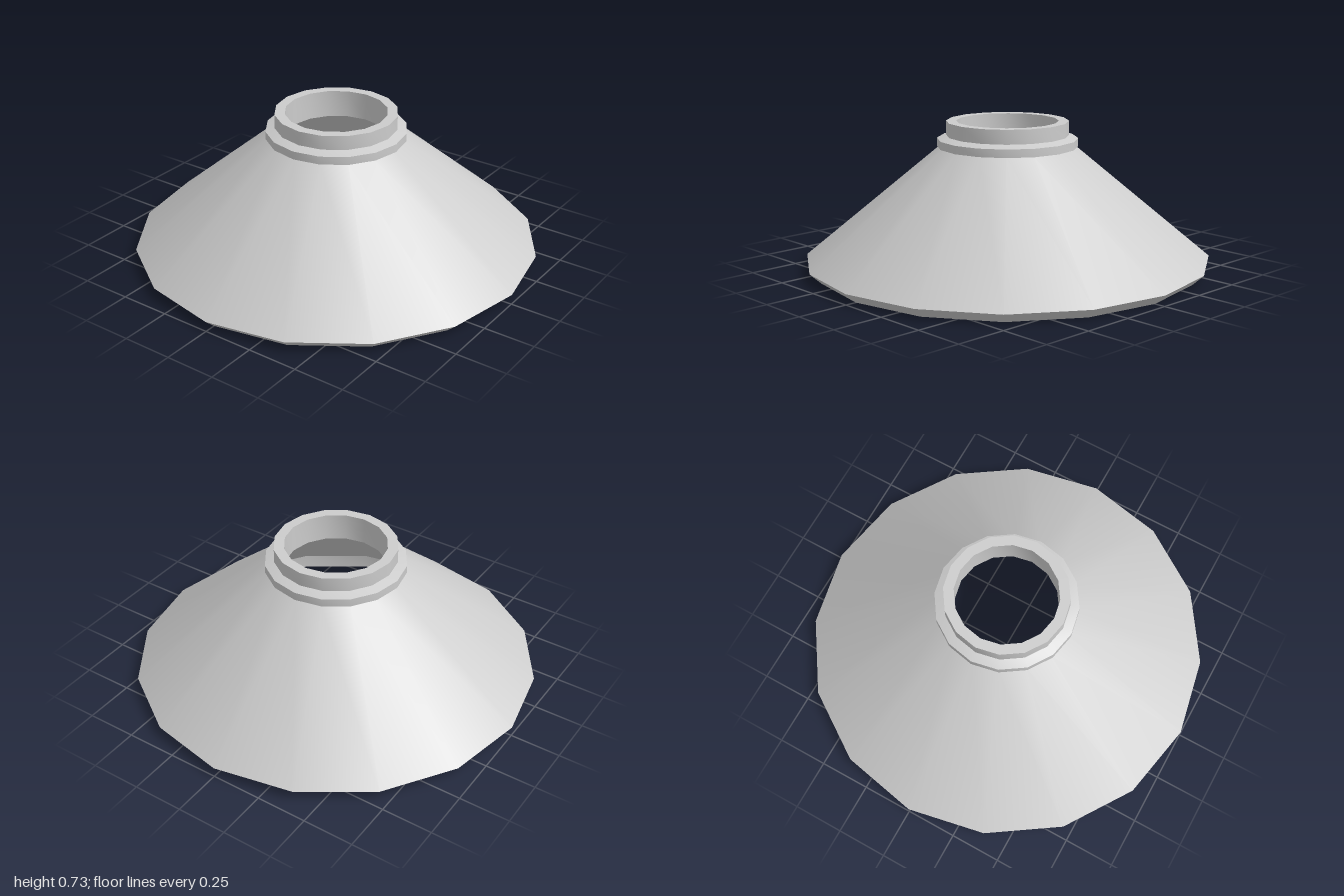
import * as THREE from 'three';
import { toCreasedNormals } from 'three/addons/utils/BufferGeometryUtils.js';

const SIDES = 16;

export function createModel() {
  const group = new THREE.Group();
  const grey = new THREE.MeshStandardMaterial({ color: 0xcccccc });
  grey.name = 'light grey';

  // Revolve a [radius, height] profile: smooth around, sharp at the steps
  const addRing = (name, profile) => {
    const points = profile.map(([r, y]) => new THREE.Vector2(r, y));
    const geometry = toCreasedNormals(new THREE.LatheGeometry(points, SIDES), 0.5);
    const mesh = new THREE.Mesh(geometry, grey);
    mesh.name = name;
    group.add(mesh);
  };

  // Sloping shade, outside and inside
  addRing('outerCone', [[1, 0.05], [0.335, 0.6]]);
  addRing('innerCone', [[0.25, 0.59], [0.865, 0.075]]);

  // Bottom rim: inner lip, flat underside, outer bevel
  addRing('rim', [[0.865, 0.075], [0.87, 0], [0.945, 0], [1, 0.05]]);

  // Stepped collar with a small sloping top
  addRing('collar', [[0.335, 0.6], [0.345, 0.6], [0.345, 0.64], [0.3, 0.655]]);

  // Open neck with its bore
  addRing('neck', [[0.3, 0.655], [0.3, 0.725], [0.25, 0.725], [0.25, 0.59]]);

  return group;
}
